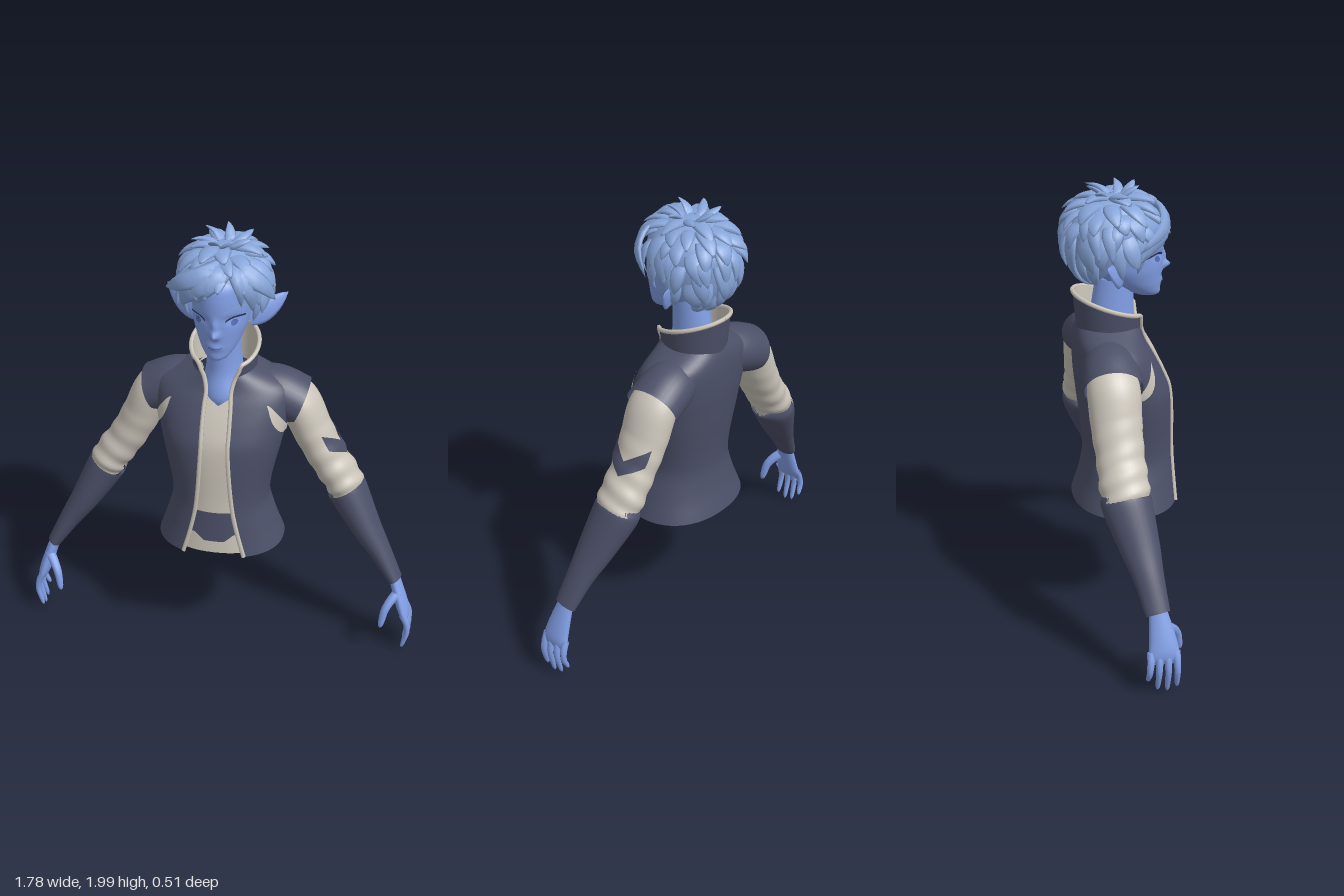
import * as THREE from 'three';
import { mergeVertices, mergeGeometries } from 'three/addons/utils/BufferGeometryUtils.js';

const V = (x, y, z) => new THREE.Vector3(x, y, z);
const mat = (name, color) => new THREE.MeshStandardMaterial({ name, color, side: THREE.DoubleSide });
const { PI, sin, cos, abs, sign, asin, min, max, exp } = Math;

// Smooth surface from f(u, v), both 0..1
function grid(f, nu, nv) {
  const pos = [], idx = [];
  for (let j = 0; j <= nv; j++) for (let i = 0; i <= nu; i++) pos.push(...f(i / nu, j / nv).toArray());
  for (let j = 0; j < nv; j++) for (let i = 0; i < nu; i++) {
    const a = j * (nu + 1) + i, b = a + nu + 1;
    idx.push(a, a + 1, b, a + 1, b + 1, b);
  }
  let g = new THREE.BufferGeometry();
  g.setAttribute('position', new THREE.Float32BufferAttribute(pos, 3));
  g.setIndex(idx);
  g = mergeVertices(g, 1e-5);
  g.computeVertexNormals();
  return g;
}

// Smooth interpolation of rows [key, a, b, ...] at key t
function interp(rows, t) {
  let i = 0;
  while (i < rows.length - 2 && t > rows[i + 1][0]) i++;
  const a = rows[i], b = rows[i + 1], p = rows[max(0, i - 1)], n = rows[min(rows.length - 1, i + 2)];
  const h = b[0] - a[0], s = (t - a[0]) / h, s2 = s * s, s3 = s2 * s;
  return a.map((_, k) => {
    const m0 = (b[k] - p[k]) / (b[0] - p[0]) * h, m1 = (n[k] - a[k]) / (n[0] - a[0]) * h;
    return (2 * s3 - 3 * s2 + 1) * a[k] + (s3 - 2 * s2 + s) * m0 + (3 * s2 - 2 * s3) * b[k] + (s3 - s2) * m1;
  });
}

// Upright body from rows [y, halfWidth, zFront, zBack]; angle 0 is the front
function body(rows, e = 1) {
  const pw = (x) => sign(x) * abs(x) ** e;
  const at = (y, a, off = 0) => {
    const [, rx, zf, zb] = interp(rows, y);
    return V((rx + off) * pw(sin(a)), y, (zf + zb) / 2 + ((zf - zb) / 2 + off) * pw(cos(a)));
  };
  const angle = (y, x) => sign(x) * asin(min(1, abs(x) / interp(rows, y)[1]) ** (1 / e));
  return { at, angle, front: (x, y, off) => at(y, angle(y, x), off) };
}

// Limb from rows [x, y, z, radius, radiusZ]; rings stand square to the path
function limb(list, wrinkle = 0) {
  const rows = list.map((r, i) => [i, ...r]), n = list.length - 1;
  const c = (t) => V(...interp(rows, t).slice(1, 4));
  const at = (t, a, off = 0) => {
    const [, , , , r, rz] = interp(rows, t);
    const T = c(min(n, t + 0.02)).sub(c(max(0, t - 0.02))).normalize();
    const A = T.clone().cross(V(0, 0, 1)).normalize(), B = A.clone().cross(T);
    const k = off + wrinkle * sin(t * 9 + 2 * sin(a)) * max(0, t / n - 0.3);
    return c(t).addScaledVector(A, (max(0, r) + k) * cos(a)).addScaledVector(B, (max(0, rz) + k) * sin(a));
  };
  return { at, geo: (nu = 28, nv = 36) => grid((u, v) => at(v * n, u * 2 * PI), nu, nv) };
}

// Tapered lens-section lock that follows points, flat side towards centre
function lock(points, w, th, centre = V(0, 1.78, -0.02)) {
  const curve = new THREE.CatmullRomCurve3(points);
  return grid((u, v) => {
    const p = curve.getPoint(v), N = p.clone().sub(centre).normalize();
    const B = curve.getTangent(v).cross(N).normalize();
    const k = max(0, sin(PI * (0.25 + 0.75 * v))) ** 0.8;
    return p.addScaledVector(B, w * k * cos(u * 2 * PI)).addScaledVector(N, th * k * sin(u * 2 * PI));
  }, 8, 9);
}

export function createModel() {
  const skin = mat('skin', 0x829fe6), hairM = mat('hair', 0x88a6da), dark = mat('darkCloth', 0x4c5068);
  const cream = mat('creamCloth', 0xcbc5ba), ink = mat('eyeBlue', 0x4f67b0), lashM = mat('lash', 0x2e3554);
  const model = new THREE.Group();
  const add = (name, geo, m, parent = model) => {
    const o = new THREE.Mesh(geo, m);
    o.name = name;
    parent.add(o);
  };
  const sides = (name, build) => [1, -1].forEach((s) => {
    const g = new THREE.Group();
    g.name = (s > 0 ? 'left' : 'right') + name;
    g.scale.x = s;
    build(g, s);
    model.add(g);
  });

  // Sleeveless open vest; last column is the half-width of the opening
  const vestRows = [[0.53, 0.285, 0.27, -0.2, 0.137], [0.65, 0.245, 0.257, -0.165, 0.105], [0.78, 0.217, 0.247, -0.15, 0.08],
    [1.05, 0.27, 0.235, -0.178, 0.06], [1.15, 0.29, 0.2, -0.188, 0.06], [1.25, 0.305, 0.15, -0.19, 0.058],
    [1.3, 0.285, 0.122, -0.187, 0.055], [1.34, 0.21, 0.11, -0.18, 0.055], [1.375, 0.135, 0.108, -0.165, 0.065]];
  const vest = body(vestRows, 0.9);
  const vestEdge = (y) => vest.angle(y, interp(vestRows, y)[4]);
  add('vest', grid((u, v) => {
    const y = 0.53 + v * 0.845, a = vestEdge(y);
    return vest.at(y, a + u * (2 * PI - 2 * a));
  }, 64, 48), dark);

  // Standing collar, higher at the back, with a pale lining and edging
  const collarAt = (a, v, off = 0) => {
    const y = 1.33 + v * (0.135 - 0.055 * cos(a));
    return V((0.14 + 0.008 * v + off) * sin(a), y, -0.03 + (0.142 + 0.018 * v + off) * cos(a));
  };
  const collar = (off) => grid((u, v) => {
    const a = 0.4 + 0.3 * v;
    return collarAt(a + u * (2 * PI - 2 * a), v, off);
  }, 48, 8);
  add('collar', collar(0), dark);
  add('collarLining', collar(-0.01), cream);
  const path = [];
  for (let i = 0; i <= 14; i++) path.push(vest.at(0.532 + i * 0.055, vestEdge(0.532 + i * 0.055), 0.002));
  for (let i = 1; i <= 3; i++) path.push(collarAt(0.4 + 0.1 * i, i / 3));
  for (let i = 1; i <= 12; i++) path.push(collarAt(0.7 + (PI - 0.7) * i / 12, 1));
  sides('Edging', (g) => add('edging', new THREE.TubeGeometry(new THREE.CatmullRomCurve3(path), 110, 0.01, 6), cream, g));

  // Shirt, belt and underside inside the vest
  const shirt = body(vestRows.map(([y, x, f, b]) => [y, x - 0.025, f - 0.025, b + 0.02]), 0.9);
  const shirtTop = (a) => 1.235 + 0.055 * min(1, abs(sin(a)) * 4);
  add('shirt', grid((u, v) => {
    const a = (u * 2 - 1) * PI;
    return shirt.at(0.535 + v * (shirtTop(a) - 0.535), a);
  }, 64, 30), cream);
  add('belt', grid((u, v) => {
    const x = (u * 2 - 1) * 0.15, low = 0.595 + 0.035 * min(1, max(0, abs(x) - 0.045) * 25);
    return shirt.front(x, low + v * (0.74 - low), 0.007);
  }, 40, 6), dark);
  add('underside', grid((u, v) => shirt.at(0.535, u * 2 * PI).multiply(V(v, 1, v)), 48, 3), dark);

  // Neck with the upper chest
  const neck = body([[1.18, 0.1, 0.085, -0.13], [1.25, 0.1, 0.112, -0.13], [1.37, 0.08, 0.08, -0.12], [1.58, 0.066, 0.08, -0.09]]);
  add('neck', grid((u, v) => neck.at(1.18 + v * 0.4, u * 2 * PI), 32, 20), skin);

  // Head, with the nose, lips and eye hollows raised by rule
  const skull = body([[1.482, 0.004, 0.172, 0.15], [1.495, 0.042, 0.192, 0.09], [1.53, 0.074, 0.196, 0.02], [1.58, 0.1, 0.2, -0.06],
    [1.64, 0.12, 0.204, -0.12], [1.78, 0.13, 0.207, -0.16], [1.85, 0.118, 0.178, -0.14], [1.93, 0.03, 0.05, -0.04]]);
  const relief = (p) => {
    if (p.z < 0.05) return p;
    const bump = (x, y, w, h) => exp(-(((abs(p.x) - x) / w) ** 2) - ((p.y - y) / h) ** 2);
    p.z += 0.036 * bump(0, 1.62, 0.016, 0.018) + 0.016 * bump(0, 1.66, 0.013, 0.03) + 0.007 * bump(0, 1.557, 0.03, 0.014)
      - 0.012 * bump(0.07, 1.685, 0.03, 0.018);
    return p;
  };
  add('head', grid((u, v) => relief(skull.at(1.482 + v * 0.448, u * 2 * PI)), 72, 60), skin);
  const facePatch = (f) => grid((u, v) => {
    const [x, y] = f(u, v), p = relief(skull.front(x, y, 0));
    return p.add(V(x * 0.03, 0, 0.004));
  }, 14, 3);
  const arc = (u) => 4 * u * (1 - u);
  sides('Face', (g) => {
    add('lash', facePatch((u, v) => [0.042 + u * 0.07, 1.683 + 0.013 * arc(u) + 0.006 * u + (v - 0.5) * 0.009]), lashM, g);
    add('iris', facePatch((u, v) => [0.062 + u * 0.026, 1.673 + (v - 0.5) * 0.026 * (0.3 + 0.7 * arc(u))]), ink, g);
    add('brow', facePatch((u, v) => [0.035 + u * 0.08, 1.724 + 0.014 * arc(u) + 0.01 * u + (v - 0.5) * 0.008]), hairM, g);
    // Long pointed ear
    add('ear', lock([V(0.11, 1.612, 0.005), V(0.18, 1.645, -0.03), V(0.265, 1.71, -0.08)], 0.053, 0.014, V(0.12, 1.65, -0.6)), skin, g);
  });
  add('mouth', facePatch((u, v) => [(u - 0.5) * 0.06, 1.555 + 0.004 * (1 - arc(u)) + (v - 0.5) * 0.004]), ink);

  // Hair: a cap down to the hairline, covered in rows of locks from the crown
  let seed = 7;
  const rnd = () => (seed = (seed * 16807) % 2147483647) / 2147483647;
  const scalp = (a, p, off = 0) => V((0.172 + off) * sin(p) * sin(a), 1.79 + (cos(p) > 0 ? 0.155 + off : 0.27) * cos(p),
    -0.012 + (0.203 + off) * sin(p) * cos(a));
  const limit = (a) => PI * (0.6 - 0.2 * cos(a) + 0.05 * (1 - cos(a)) / 2);
  const hair = [grid((u, v) => scalp(u * 2 * PI, v * limit(u * 2 * PI)), 48, 24)];
  // One lock over the scalp from (a0, p0) to (a1, p1), arching out, tip raised
  const strand = (a0, p0, a1, p1, arch, tip, w) => hair.push(lock([0, 1, 2, 3].map((i) => {
    const t = i / 3;
    return scalp(a0 + (a1 - a0) * t, p0 + (p1 - p0) * t, -0.005 + arch * sin(PI * t) + (tip + 0.005) * t * t);
  }), w, 0.016));
  for (let row = 0; row < 7; row++) {
    const n = 6 + 11 * sin(row / 6 * 2.4), p = PI * (0.06 + row * 0.103);
    for (let i = 0; i < n; i++) {
      const a = (i + rnd() * 0.7) / n * 2 * PI, twist = (rnd() - 0.3) * 0.35, len = PI * (0.17 + rnd() * 0.08);
      if (p + len * 0.75 > limit(a) + 0.15) continue;
      strand(a, p, a + twist, p + len, 0.015, row < 6 ? 0.03 + rnd() * 0.025 : 0.015, 0.03 + rnd() * 0.015);
    }
  }
  // Fringe swept from a side parting: tip angle, tip drop, lift, width
  [[-0.5, 0.55, 0.02, 0.042], [-0.8, 0.57, 0.03, 0.05], [-1.15, 0.63, 0.03, 0.055], [-1.3, 0.54, 0.08, 0.045],
    [0.62, 0.56, 0.01, 0.03], [0.95, 0.61, 0.02, 0.045], [1.35, 0.57, 0.07, 0.045],
  ].forEach(([a, p, tip, w]) => strand(0.4, 0.2 * PI, a, p * PI, 0.035, tip, w));
  // Temple locks, then loose tufts standing round the crown
  [1, -1].forEach((s) => strand(s * 1.1, 0.45 * PI, s * 1.1, 0.7 * PI, 0.01, 0.02, 0.03));
  for (let i = 0; i < 7; i++) strand(i * 0.9, 0.06 * PI, i * 0.9 + 0.5, (0.14 + 0.03 * (i % 3)) * PI, 0.015, 0.07, 0.024);
  add('hair', mergeGeometries(hair), hairM);

  // Arms: vest cap, sleeve, forearm guard and hand
  const cap = limb([[0.1, 1.26, -0.05, 0.09, 0.1], [0.22, 1.235, -0.06, 0.112, 0.122], [0.335, 1.188, -0.066, 0.106, 0.127]]);
  const sleeve = limb([[0.26, 1.25, -0.07, 0.08, 0.1], [0.33, 1.18, -0.066, 0.09, 0.115], [0.385, 1.06, -0.065, 0.088, 0.112],
    [0.455, 0.93, -0.06, 0.084, 0.105], [0.53, 0.82, -0.055, 0.084, 0.107], [0.575, 0.735, -0.05, 0.076, 0.098]], 0.008);
  const guard = limb([[0.55, 0.775, -0.05, 0.078, 0.1], [0.56, 0.757, -0.05, 0.088, 0.11],
    [0.655, 0.595, -0.01, 0.066, 0.087], [0.73, 0.48, 0.016, 0.048, 0.066], [0.805, 0.355, 0.04, 0.031, 0.054]]);
  const palm = limb([[0.795, 0.385, 0.038, 0.024, 0.036], [0.842, 0.24, 0.055, 0.027, 0.06],
    [0.862, 0.18, 0.057, 0.02, 0.066], [0.868, 0.145, 0.057, 0.001, 0.05]]);
  // Rounded digit through points, thinning to the tip
  const digit = (points, r) => {
    const curve = new THREE.CatmullRomCurve3(points);
    return limb([0, 0.3, 0.6, 0.85, 0.95, 1].map((t) => {
      const k = r * (1 - 0.35 * t) * (1 - t ** 10) ** 0.5;
      return [...curve.getPoint(t).toArray(), k, k * 1.12];
    })).geo(12, 18);
  };
  const fingerTips = [0.06, 0.012, 0.002, 0.02];
  const slit = (back) => grid((u, v) => {
    const y = 1.25 - v * 0.16, x = 0.21 + 0.075 * v ** 0.8 + (u - 0.5) * 0.03 * (0.25 + sin(PI * v));
    const t = vest.angle(y, min(x, 0.29));
    return vest.at(y, back ? PI - t : t, 0.007);
  }, 6, 12);
  sides('Arm', (g, s) => {
    add('shoulderCap', cap.geo(32, 14), dark, g);
    add('sleeve', sleeve.geo(32, 60), cream, g);
    add('forearmGuard', guard.geo(), dark, g);
    add('palm', palm.geo(24, 20), skin, g);
    fingerTips.forEach((tip, i) => {
      const z0 = 0.002 + 0.036 * i, z1 = -0.012 + 0.042 * i;
      add('finger' + (i + 1), digit([V(0.855, 0.2, z0), V(0.88, 0.13, (z0 + z1) / 2), V(0.857, tip, z1)], 0.016), skin, g);
    });
    add('thumb', digit([V(0.825, 0.3, 0.07), V(0.78, 0.25, 0.12), V(0.756, 0.143, 0.147)], 0.023), skin, g);
    add('frontArmholeSlit', slit(false), cream, g);
    add('backArmholeSlit', slit(true), cream, g);
    // Chevron badge on one sleeve only
    if (s > 0) add('sleeveChevron', grid((u, v) => {
      const k = u * 2 - 1;
      return sleeve.at(2.75 - 0.6 * abs(k) + v * 0.55, PI + k * 0.95, 0.007);
    }, 20, 6), dark, g);
  });
  return model;
}
